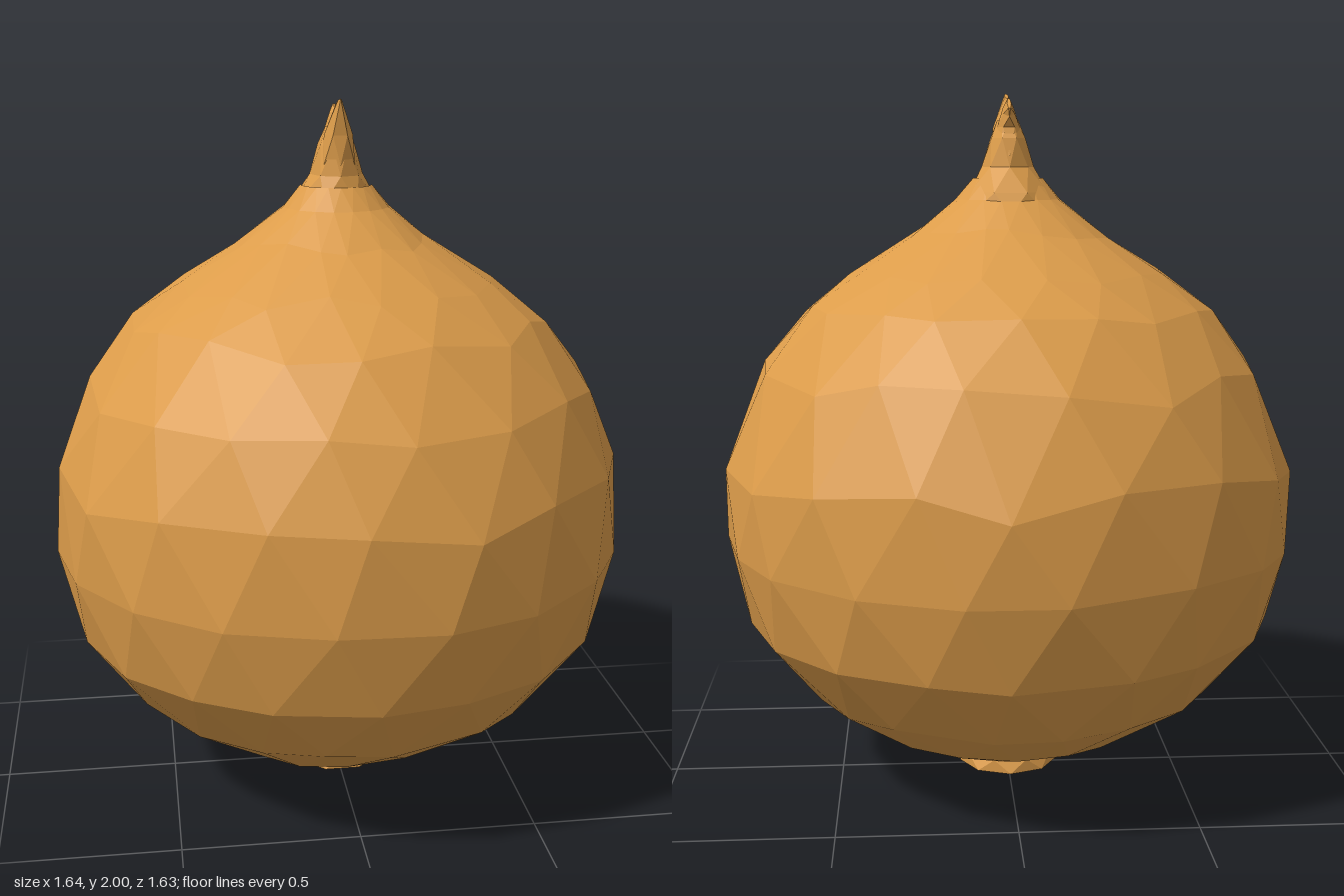
import * as THREE from 'three';

const skin = new THREE.MeshStandardMaterial({ color: 0xdc9c4a, flatShading: true });
skin.name = 'onion skin';

// Repeatable noise in -1..1
const noise = (i, j) => {
  const s = Math.sin(i * 127.1 + j * 311.7) * 43758.5453;
  return 2 * (s - Math.floor(s)) - 1;
};

// Surface through staggered rings; ringPoint(row, column, angle) gives a corner
function loft(name, rows, sides, ringPoint) {
  const positions = [];
  const corner = (j, i) => {
    const c = i % sides;
    return ringPoint(j, c, ((c + j / 2) * 2 * Math.PI) / sides);
  };
  for (let j = 0; j < rows - 1; j++) {
    for (let i = 0; i < sides; i++) {
      const a = corner(j, i), b = corner(j, i + 1);
      const c = corner(j + 1, i + 1), d = corner(j + 1, i);
      positions.push(...a, ...b, ...d, ...c, ...d, ...b);
    }
  }
  const geometry = new THREE.BufferGeometry();
  geometry.setAttribute('position', new THREE.Float32BufferAttribute(positions, 3));
  geometry.computeVertexNormals();
  const mesh = new THREE.Mesh(geometry, skin);
  mesh.name = name;
  return mesh;
}

// Rings given as [y, half width in x, half depth in z, centre x, centre z, tilt]
function ovalLoft(name, rings, sides) {
  return loft(name, rings.length, sides, (j, i, a) => {
    const [y, rx, rz, cx = 0, cz = 0, tilt = 0] = rings[j];
    const z = rz * Math.cos(a);
    return [cx + rx * Math.sin(a), y + tilt * z, cz + z];
  });
}

// Bulb: [radius, height] from the base to the neck
const profile = [
  [0, 0.05], [0.15, 0.06], [0.42, 0.17], [0.61, 0.3], [0.76, 0.49], [0.82, 0.73], [0.82, 0.96],
  [0.72, 1.22], [0.58, 1.4], [0.44, 1.5], [0.26, 1.61], [0.15, 1.7], [0.1, 1.76],
];

function bulb() {
  const last = profile.length - 1;
  return loft('bulb', profile.length, 18, (j, i, angle) => {
    // Slide corners along the profile so the facets are uneven
    const free = j > 1 && j < last - 1;
    const slide = free ? noise(i, j) * (j === 4 || j === 5 ? 0.04 : 0.17) : 0;
    const [r0, y0] = profile[j];
    const [r1, y1] = profile[Math.min(last, Math.max(0, j + Math.sign(slide)))];
    const t = Math.abs(slide);
    const r = r0 + (r1 - r0) * t, y = y0 + (y1 - y0) * t;
    const a = angle + (free ? noise(i + 31, j) * 0.06 : 0);
    return [r * Math.sin(a), y, r * Math.cos(a)];
  });
}

export function createModel() {
  const group = new THREE.Group();
  group.name = 'onion';
  group.add(bulb());

  // Flared root disc under the bulb
  group.add(ovalLoft('rootDisc', [
    [0, 0, 0], [0.02, 0.148, 0.148], [0.058, 0.14, 0.14], [0.07, 0, 0],
  ], 9));

  // Dried neck
  group.add(ovalLoft('neck', [
    [1.66, 0.15, 0.16, 0, -0.01], [1.72, 0.12, 0.13, 0, -0.02], [1.79, 0.075, 0.095],
    [1.87, 0.052, 0.084], [1.92, 0.03, 0.05],
  ], 8));

  // Two split leaf ends, pinched flat from side to side
  group.add(ovalLoft('frontLeafEnd', [
    [1.82, 0.05, 0.045, 0, 0.045], [1.9, 0.04, 0.042, 0, 0.048],
    [1.99, 0.006, 0.032, 0, 0.06, 0.25], [1.99, 0, 0, 0, 0.06],
  ], 6));
  group.add(ovalLoft('backLeafEnd', [
    [1.82, 0.045, 0.045, 0, -0.045], [1.9, 0.032, 0.035, 0, -0.035],
    [1.945, 0.018, 0.034, 0, -0.045, 0.5], [1.965, 0.006, 0.026, 0, -0.065, 0.6], [1.965, 0, 0, 0, -0.065],
  ], 6));

  return group;
}
